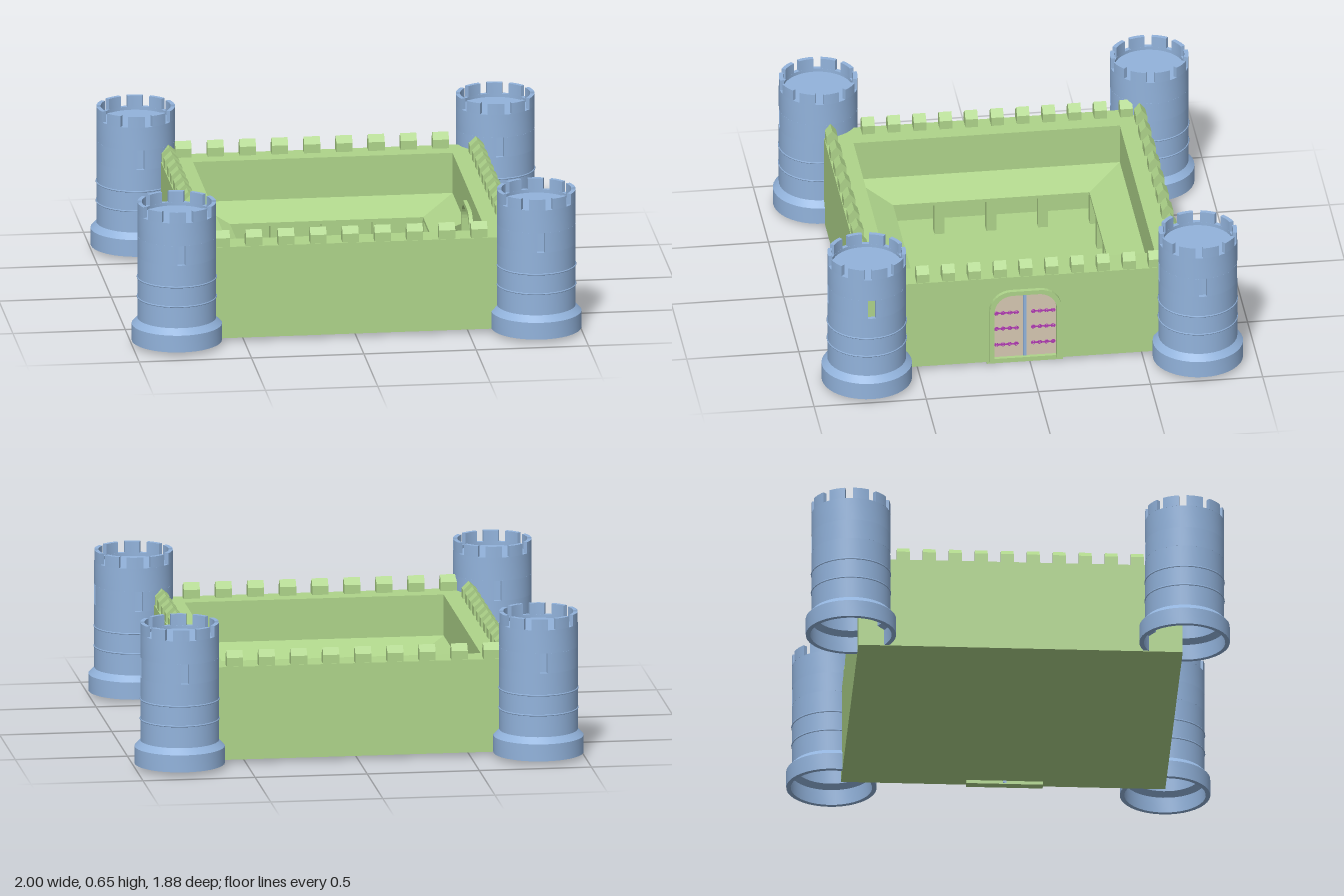
import * as THREE from 'three';
import { toCreasedNormals } from 'three/addons/utils/BufferGeometryUtils.js';

const mat = (color, side = THREE.FrontSide) => new THREE.MeshStandardMaterial({ color, side });
const green = mat(0xaed48a), greenThin = mat(0xaed48a, THREE.DoubleSide);
const blue = mat(0x92b3dc), beige = mat(0xd6c8b2), purple = mat(0xb23cb4);

// Wall plan and heights
const X0 = -0.705, X1 = 0.73, Z0 = -0.70, Z1 = 0.735;
const IX0 = -0.565, IX1 = 0.59, IZ0 = -0.575, IZ1 = 0.612;
const BASE = 0.02, TOP = 0.435, GATE_Z = 0.022;

function add(parent, name, geo, material) {
  const m = new THREE.Mesh(geo, material);
  m.name = name;
  parent.add(m);
  return m;
}

// Box given by its limits
function box(parent, name, material, x0, x1, y0, y1, z0, z1) {
  const g = new THREE.BoxGeometry(x1 - x0, y1 - y0, z1 - z0);
  g.translate((x0 + x1) / 2, (y0 + y1) / 2, (z0 + z1) / 2);
  return add(parent, name, g, material);
}

// Curved block between two radii, heights and angles
function arcBlock(rIn, rOut, y0, y1, a0, a1) {
  const s = new THREE.Shape();
  s.absarc(0, 0, rOut, a0, a1, false);
  s.absarc(0, 0, rIn, a1, a0, true);
  const g = new THREE.ExtrudeGeometry(s, {
    depth: y1 - y0, bevelEnabled: false,
    curveSegments: Math.max(3, Math.ceil((a1 - a0) / (Math.PI * 2) * 40)),
  });
  g.rotateX(-Math.PI / 2).translate(0, y0, 0);
  return toCreasedNormals(g, 0.5);
}

function lathe(points) {
  const g = new THREE.LatheGeometry(points.map(([r, y]) => new THREE.Vector2(r, y)), 40);
  return toCreasedNormals(g, 0.5);
}

function tower(x, z, windows) {
  const t = new THREE.Group();
  t.name = 'tower';
  t.position.set(x, 0, z);
  const R = 0.174, RI = 0.155, W0 = 0.41, W1 = 0.5;
  // Hollow foot and lower shaft
  add(t, 'towerShaft', lathe([[0.18, 0.018], [0.2, 0.018], [0.2, 0.095], [R, 0.122], [R, W0],
    [RI, W0], [RI, 0.11], [0.18, 0.09], [0.18, 0.018]]), blue);
  // Window band, split by the slits
  windows.forEach((a, i) => {
    const next = i + 1 < windows.length ? windows[i + 1] : windows[0] + Math.PI * 2;
    add(t, 'windowBand', arcBlock(RI, R, W0, W1, a + 0.1, next - 0.1), blue);
  });
  // Upper shaft with the lookout floor
  add(t, 'towerTop', lathe([[0, 0.575], [RI, 0.575], [RI, W1], [R, W1], [R, 0.605],
    [RI, 0.605], [RI, 0.59], [0, 0.59]]), blue);
  for (const y of [0.22, 0.31]) {
    const ring = new THREE.TorusGeometry(R, 0.004, 6, 40).rotateX(Math.PI / 2).translate(0, y, 0);
    add(t, 'towerRing', ring, blue);
  }
  const n = 10, step = Math.PI * 2 / n;
  for (let i = 0; i < n; i++) {
    add(t, 'towerMerlon', arcBlock(RI, R, 0.605, 0.655, i * step, (i + 0.68) * step), blue);
  }
  return t;
}

// Gabled merlon: ridge runs along local x
function merlonGeometry(length, depth) {
  const h = depth / 2;
  const s = new THREE.Shape([[-h, 0], [h, 0], [h, 0.04], [0, 0.07], [-h, 0.04]]
    .map(([a, b]) => new THREE.Vector2(a, b)));
  const g = new THREE.ExtrudeGeometry(s, { depth: length, bevelEnabled: false });
  return g.translate(0, 0, -length / 2).rotateY(Math.PI / 2);
}

// Points of the arched opening, from bottom right to bottom left
function arch(w, h, r, y0) {
  const p = [new THREE.Vector2(w, y0)];
  for (let i = 0; i <= 8; i++) {
    const a = i / 8 * Math.PI / 2;
    p.push(new THREE.Vector2(w - r + r * Math.cos(a), h - r + r * Math.sin(a)));
  }
  for (let i = p.length - 1; i >= 0; i--) p.push(new THREE.Vector2(-p[i].x, p[i].y));
  return p;
}

// Extrude a (−z, y) outline from x0 to x1 at the gate
function gateExtrude(points, x0, x1) {
  const g = new THREE.ExtrudeGeometry(new THREE.Shape(points), { depth: x1 - x0, bevelEnabled: false });
  return g.rotateY(Math.PI / 2).translate(x0, 0, GATE_Z);
}

function quad(a, b, c, d) {
  const g = new THREE.BufferGeometry();
  g.setAttribute('position', new THREE.Float32BufferAttribute([a, b, c, a, c, d].flat(), 3));
  g.computeVertexNormals();
  return g;
}

export function createModel() {
  const castle = new THREE.Group();
  castle.name = 'castle';

  // Floor and walls
  box(castle, 'floor', green, X0, X1, 0.015, 0.027, Z0, Z1);
  box(castle, 'frontWall', green, X0, X1, BASE, TOP, IZ1, Z1);
  box(castle, 'backWall', green, X0, X1, BASE, TOP, Z0, IZ0);
  box(castle, 'leftWall', green, X0, IX0, BASE, TOP, IZ0, IZ1);
  const V = (x, y) => new THREE.Vector2(x, y);
  const u0 = GATE_Z - IZ1, u1 = GATE_Z - IZ0;
  add(castle, 'gateWall', gateExtrude(
    [V(u0, BASE), V(u0, TOP), V(u1, TOP), V(u1, BASE), ...arch(0.139, 0.352, 0.08, BASE)], IX1, X1), green);

  // Merlons along the four walls
  const longMerlon = merlonGeometry(0.072, 0.05);
  const sideMerlon = merlonGeometry(0.056, 0.064).rotateY(Math.PI / 2);
  for (let i = 0; i < 9; i++) {
    const x = -0.598 + i * 0.1432;
    add(castle, 'frontMerlon', longMerlon, green).position.set(x, TOP, 0.707);
    add(castle, 'backMerlon', longMerlon, green).position.set(x, TOP, -0.672);
  }
  for (let i = 0; i < 11; i++) {
    add(castle, 'leftMerlon', sideMerlon, green).position.set(-0.67, TOP, -0.615 + i * 0.115);
    add(castle, 'gateWallMerlon', sideMerlon, green).position.set(0.695, TOP, -0.558 + i * 0.115);
  }

  // Lean-to roof round the courtyard, open at the gate
  const H = 0.25, L = 0.19, RX0 = -0.42, RX1 = 0.44, RZ0 = -0.42, RZ1 = 0.455;
  const gap0 = -0.125, gap1 = 0.16;
  const strips = [
    [[IX0, IZ0], [IX1, IZ0], [RX1, RZ0], [RX0, RZ0]],
    [[IX1, IZ1], [IX0, IZ1], [RX0, RZ1], [RX1, RZ1]],
    [[IX0, IZ1], [IX0, IZ0], [RX0, RZ0], [RX0, RZ1]],
    [[IX1, IZ0], [IX1, gap0], [RX1, gap0], [RX1, RZ0]],
    [[IX1, gap1], [IX1, IZ1], [RX1, RZ1], [RX1, gap1]],
  ];
  for (const [a, b, c, d] of strips) {
    const at = ([x, z], y) => [x, y, z];
    add(castle, 'courtyardRoof', quad(at(a, H), at(d, L), at(c, L), at(b, H)), greenThin);
    add(castle, 'roofEdge', quad(at(d, L), at(d, L - 0.015), at(c, L - 0.015), at(c, L)), greenThin);
  }

  // Posts under the roof edge
  const post = (x, z) => box(castle, 'roofPost', green, x - 0.022, x + 0.022, 0.02, 0.19, z - 0.022, z + 0.022);
  for (let i = 0; i < 5; i++) {
    const x = -0.445 + i * 0.2275, z = -0.445 + i * 0.231;
    post(x, -0.445);
    post(x, 0.479);
    if (i > 0 && i < 4) post(-0.445, z);
    if (i === 1 || i === 3) post(0.465, z);
  }

  // Gate: frames on both faces, sill, doors, centre strip and hinges
  const gate = new THREE.Group();
  gate.name = 'gate';
  castle.add(gate);
  const outer = arch(0.16, 0.372, 0.095, BASE), inner = arch(0.139, 0.352, 0.08, BASE);
  const ring = [...outer, ...inner.reverse()];
  add(gate, 'outerGateFrame', gateExtrude(ring, X1, 0.75), green);
  add(gate, 'innerGateFrame', gateExtrude(ring, 0.573, IX1), green);
  box(gate, 'sill', green, 0.68, 0.72, 0, 0.015, GATE_Z - 0.17, GATE_Z + 0.17);
  add(gate, 'doors', gateExtrude(arch(0.139, 0.352, 0.08, 0.004), 0.683, 0.712), beige);
  box(gate, 'doorStrip', blue, 0.679, 0.717, 0.005, 0.335, GATE_Z - 0.007, GATE_Z + 0.007);
  for (const y of [0.09, 0.17, 0.248]) {
    for (const s of [-1, 1]) {
      const z = GATE_Z + s * 0.082;
      box(gate, 'hingeBar', purple, 0.711, 0.716, y - 0.003, y + 0.003, z - 0.055, z + 0.055);
      for (const k of [-0.044, -0.015, 0.015, 0.044]) {
        const curl = new THREE.TorusGeometry(0.008, 0.0022, 6, 12).rotateY(Math.PI / 2);
        add(gate, 'hingeCurl', curl, purple).position.set(0.714, y, z + k);
      }
    }
  }

  // Corner towers; those beside the gate also look outward
  const q = Math.PI / 2;
  for (const z of [-0.738, 0.738]) {
    castle.add(tower(-0.8, z, [-q, q]));
    castle.add(tower(0.8, z, [-q, 0, q]));
  }
  return castle;
}
